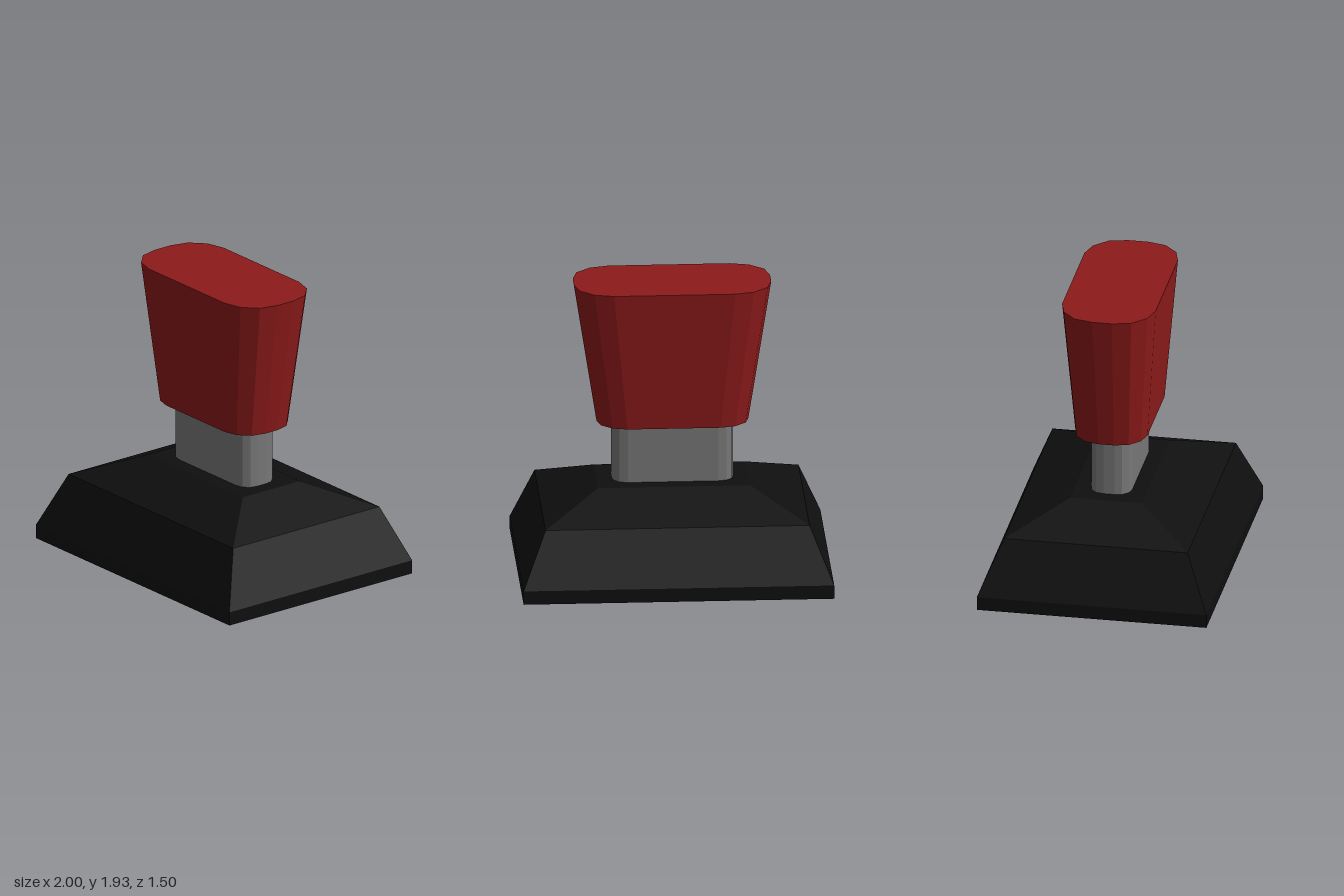
import * as THREE from 'three';

// Mirror one quadrant of [x, z] points into a closed ring
function ringFromQuadrant(q) {
  const r = [...q].reverse();
  return [
    ...q,
    ...r.map(([x, z]) => [x, -z]),
    ...q.map(([x, z]) => [-x, -z]),
    ...r.map(([x, z]) => [-x, z]),
  ];
}

const rectangle = (x, z) => [[x, z], [x, -z], [-x, -z], [-x, z]];
const scaled = (ring, s) => ring.map(([x, z]) => [x * s, z * s]);

// Skin a stack of { y, ring } sections and close both ends
function loft(sections) {
  const n = sections[0].ring.length;
  const positions = [];
  const index = [];
  for (const { y, ring } of sections) for (const [x, z] of ring) positions.push(x, y, z);
  for (let s = 0; s < sections.length - 1; s++) {
    for (let i = 0; i < n; i++) {
      const a = s * n + i, b = s * n + (i + 1) % n;
      index.push(a, b, b + n, a, b + n, a + n);
    }
  }
  const top = (sections.length - 1) * n;
  for (let i = 1; i < n - 1; i++) {
    index.push(0, i + 1, i);
    index.push(top, top + i, top + i + 1);
  }
  const indexed = new THREE.BufferGeometry();
  indexed.setAttribute('position', new THREE.Float32BufferAttribute(positions, 3));
  indexed.setIndex(index);
  const geometry = indexed.toNonIndexed();
  geometry.computeVertexNormals();
  return geometry;
}

function part(name, color, sections) {
  const material = new THREE.MeshStandardMaterial({ color, flatShading: true });
  const mesh = new THREE.Mesh(loft(sections), material);
  mesh.name = name;
  return mesh;
}

export function createModel() {
  const group = new THREE.Group();
  group.name = 'pushHandle';

  // Stepped, tapering rectangular base
  group.add(part('base', 0x0f0f0f, [
    { y: 0, ring: rectangle(1, 0.75) },
    { y: 0.09, ring: rectangle(1, 0.75) },
    { y: 0.45, ring: rectangle(0.85, 0.6) },
    { y: 0.605, ring: rectangle(0.49, 0.235) },
  ]));

  // Straight metal stem with rounded ends
  const stemRing = ringFromQuadrant([[0.29, 0.135], [0.345, 0.122], [0.38, 0.085], [0.39, 0.035]]);
  group.add(part('stem', 0x777777, [
    { y: 0.605, ring: stemRing },
    { y: 1, ring: stemRing },
  ]));

  // Grip flaring towards the top
  const gripRing = ringFromQuadrant([[0.39, 0.306], [0.513, 0.273], [0.605, 0.185], [0.635, 0.065]]);
  group.add(part('grip', 0x8c1a1a, [
    { y: 1, ring: scaled(gripRing, 0.77) },
    { y: 1.93, ring: gripRing },
  ]));

  return group;
}
